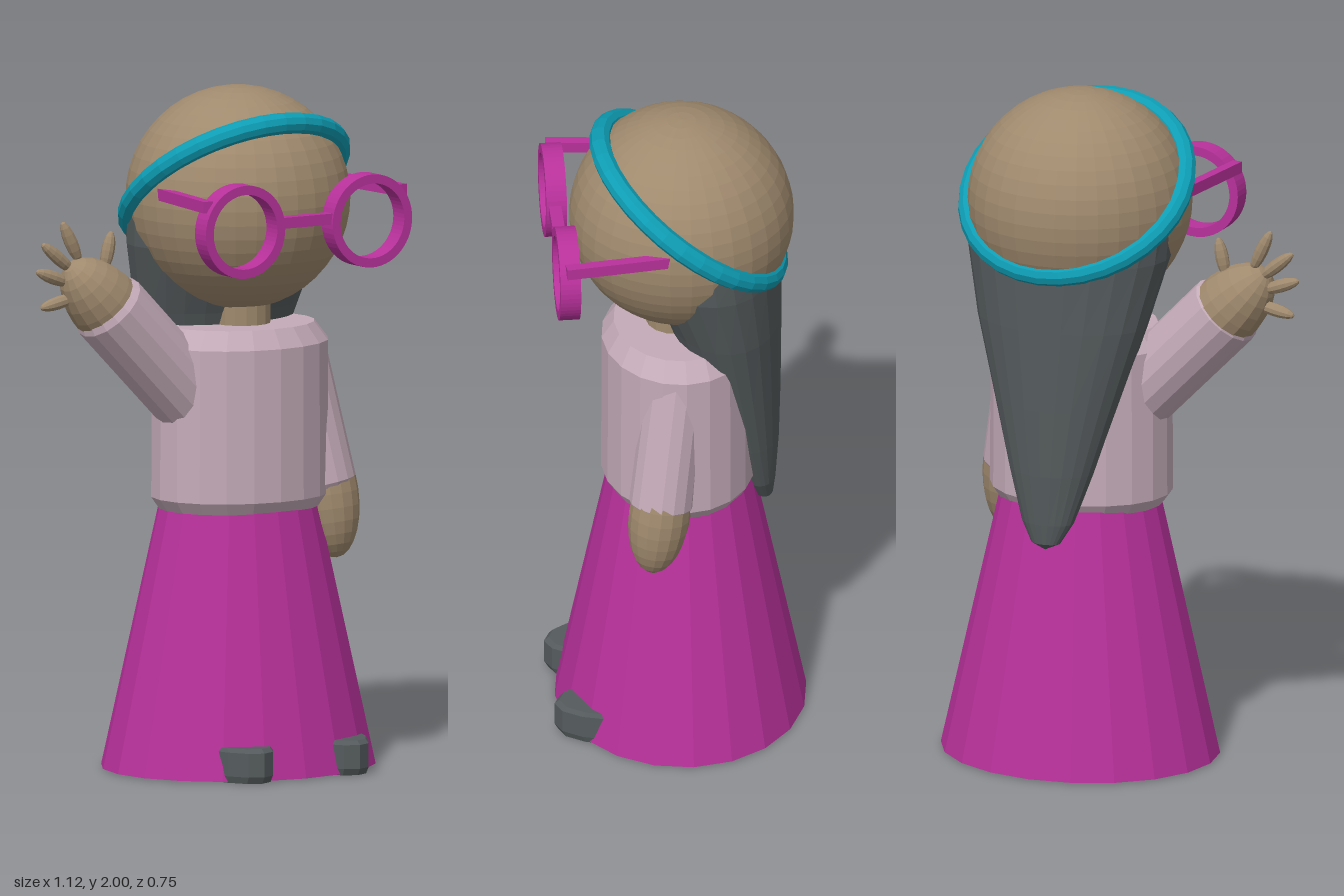
import * as THREE from 'three';

const mat = (color) => new THREE.MeshStandardMaterial({ color, flatShading: true, side: THREE.DoubleSide });
const V = (x, y, z) => new THREE.Vector3(x, y, z);
const CX = 0.14; // body axis

export function createModel() {
  const model = new THREE.Group();
  model.name = 'wavingFigure';
  const skin = mat(0xa08a6e), lilac = mat(0xc4abb8), magenta = mat(0xb8319b);
  const teal = mat(0x0e9db4), dark = mat(0x555b5d);

  const add = (name, geo, material, x = 0, y = 0, z = 0) => {
    const m = new THREE.Mesh(geo, material);
    m.name = name;
    m.position.set(x, y, z);
    model.add(m);
    return m;
  };
  // turn a mesh's +y axis along a direction
  const aim = (mesh, dir) => {
    mesh.quaternion.setFromUnitVectors(V(0, 1, 0), dir.clone().normalize());
    return mesh;
  };
  const lathe = (pts, sides) => new THREE.LatheGeometry(pts.map((p) => new THREE.Vector2(...p)), sides);
  const ellipsoid = (name, c, dir, r, len, material, w = 16, h = 14) => {
    const m = aim(add(name, new THREE.SphereGeometry(1, w, h), material, c.x, c.y, c.z), dir);
    m.scale.set(r, len, r);
    return m;
  };

  // skirt and torso, both oval
  add('skirt', new THREE.CylinderGeometry(0.24, 0.416, 0.775, 20), magenta, CX, 0.3905, -0.007).scale.z = 0.885;
  const torso = lathe([[0, 0.765], [0.25, 0.765], [0.275, 0.8], [0.273, 1.25], [0.23, 1.305], [0, 1.305]], 20);
  add('torso', torso, lilac, CX, 0, 0).scale.z = 0.82;

  // head and neck
  add('neck', new THREE.CylinderGeometry(0.085, 0.085, 0.16, 16), skin, CX, 1.36, 0.01);
  add('head', new THREE.SphereGeometry(0.328, 32, 24), skin, CX, 1.672, -0.01);

  // tilted headband
  const band = add('headband', new THREE.TorusGeometry(0.327, 0.032, 10, 32), teal, CX, 1.714, -0.031);
  band.rotation.x = THREE.MathUtils.degToRad(52);

  // hair: oval sections [y, centre z, half width, half depth], trimmed at the headband
  const rings = [
    [1.72, -0.07, 0.318, 0.232], [1.54, -0.085, 0.31, 0.217], [1.34, -0.13, 0.262, 0.172],
    [1.1, -0.17, 0.19, 0.13], [0.9, -0.205, 0.13, 0.09], [0.75, -0.235, 0.08, 0.05],
    [0.69, -0.25, 0.045, 0.028], [0.67, -0.255, 0.001, 0.001],
  ];
  const hair = new THREE.CylinderGeometry(1, 1, 1, 24, rings.length - 1, true);
  const p = hair.attributes.position;
  for (let i = 0; i < p.count; i++) {
    const [y, cz, rx, rz] = rings[Math.round((0.5 - p.getY(i)) * (rings.length - 1))];
    const z = cz + p.getZ(i) * rz;
    p.setXYZ(i, p.getX(i) * rx, Math.min(y, 1.714 + 0.788 * (z + 0.031)), z);
  }
  hair.computeVertexNormals();
  add('hair', hair, dark, CX);

  // arms: sleeve with a bevelled cuff, ending in a rounded hand
  const sleeve = (name, a, b, r0, r1) => {
    const d = b.clone().sub(a), L = d.length();
    const geo = lathe([[0, 0], [r0, 0], [r1, L - 0.02], [r1 - 0.012, L], [0, L]], 16);
    return aim(add(name, geo, lilac, a.x, a.y, a.z), d);
  };
  sleeve('leftSleeve', V(0.315, 1.23, 0.02), V(0.389, 0.805, 0.075), 0.09, 0.094);
  ellipsoid('leftHand', V(0.395, 0.79, 0.078), V(0.08, -1, 0.13), 0.09, 0.19, skin);
  sleeve('rightSleeve', V(0, 1.055, 0.01), V(-0.333, 1.397, 0.01), 0.112, 0.114);
  ellipsoid('rightHand', V(-0.315, 1.378, 0.005), V(-0.7, 0.72, 0), 0.107, 0.195, skin);

  // fingers of the raised hand: [tip x, tip y, base x, base y]
  const fingers = [
    [-0.3, 1.605, -0.325, 1.49], [-0.47, 1.645, -0.41, 1.52], [-0.54, 1.585, -0.43, 1.495],
    [-0.56, 1.505, -0.44, 1.46], [-0.545, 1.395, -0.42, 1.42],
  ];
  fingers.forEach(([tx, ty, bx, by], i) => {
    const d = V(tx - bx, ty - by, 0);
    const c = V((tx + bx) / 2, (ty + by) / 2, -0.005);
    ellipsoid(i ? 'finger' : 'thumb', c, d, 0.02, d.length() / 2, skin, 10, 8);
  });

  // glasses: two rims, bridge and temples
  const rim = new THREE.Shape().absarc(0, 0, 0.137, 0, Math.PI * 2);
  rim.holes.push(new THREE.Path().absarc(0, 0, 0.11, 0, Math.PI * 2, true));
  const rimGeo = new THREE.ExtrudeGeometry(rim, { depth: 0.06, bevelEnabled: false, curveSegments: 28 });
  for (const s of [-1, 1]) {
    const side = s > 0 ? 'left' : 'right';
    add(side + 'Rim', rimGeo, magenta, CX + s * 0.219, 1.63, 0.317);
    const a = V(CX + s * 0.303, 1.71, 0.055), b = V(CX + s * 0.336, 1.71, 0.358);
    const mid = a.clone().add(b).multiplyScalar(0.5);
    const temple = add(side + 'Temple', new THREE.BoxGeometry(0.03, 0.034, a.distanceTo(b)), magenta, mid.x, mid.y, mid.z);
    temple.rotation.y = Math.atan2(b.x - a.x, b.z - a.z);

    // long oval shoe and the leg hidden under the skirt
    const shoe = lathe([[0, 0], [0.105, 0], [0.11, 0.02], [0.11, 0.09], [0.104, 0.102], [0, 0.102]], 16);
    add(side + 'Shoe', shoe, dark, 0.15 + s * 0.165, 0, 0.122).scale.z = 2.33;
    add(side + 'Leg', new THREE.CylinderGeometry(0.07, 0.07, 0.6, 14), skin, 0.15 + s * 0.165 * 0.9, 0.301, -0.09);
  }
  add('bridge', new THREE.BoxGeometry(0.18, 0.032, 0.036), magenta, CX, 1.645, 0.352);

  return model;
}
